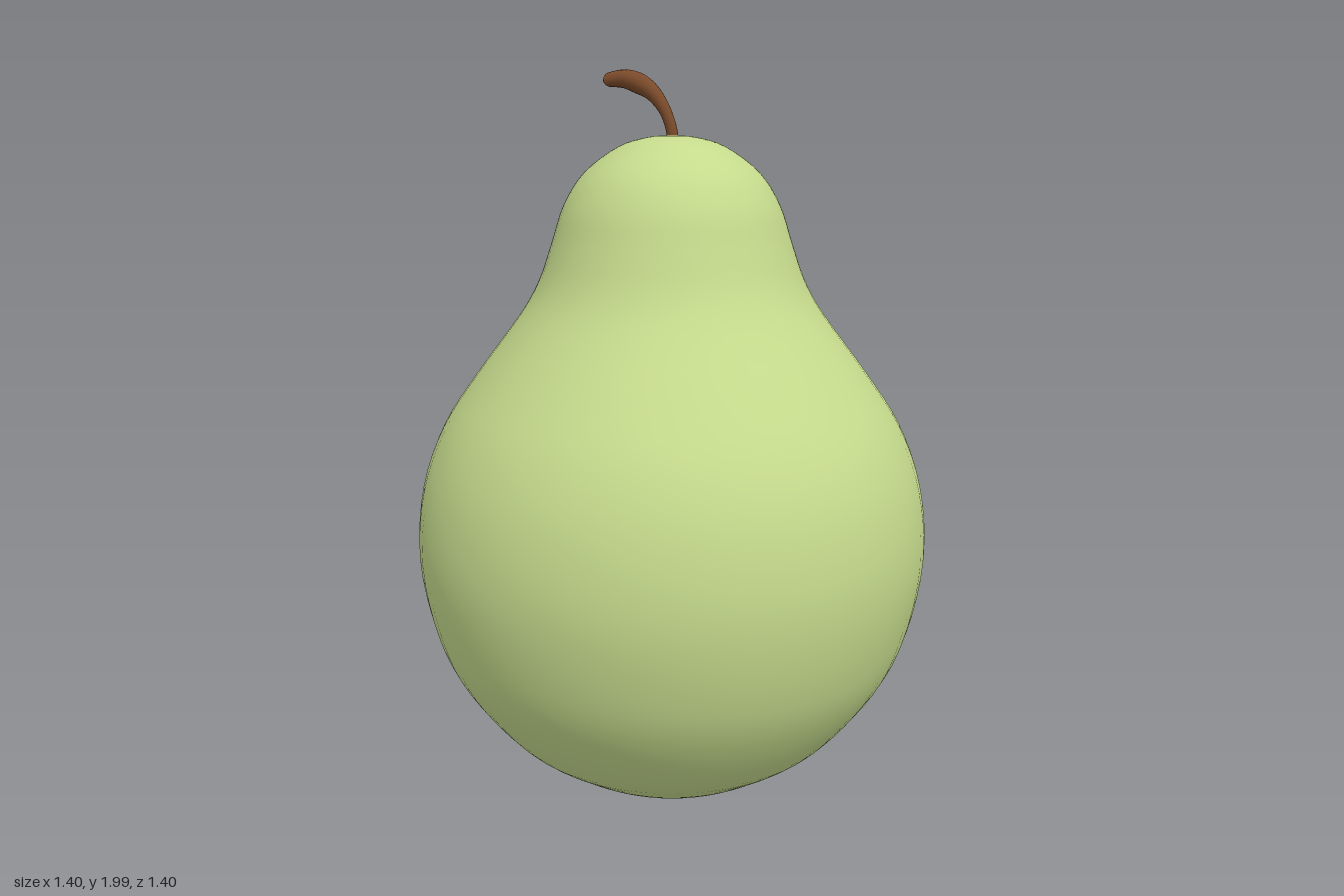
import * as THREE from 'three';

const v2 = ([x, y]) => new THREE.Vector2(x, y);

// Round fruit body: belly, waist and domed neck turned around y
function makeBody() {
  const profile = new THREE.SplineCurve([
    [0, 0.005], [0.12, 0.012], [0.25, 0.052], [0.37, 0.12], [0.48, 0.205], [0.6, 0.36],
    [0.665, 0.51], [0.7, 0.71], [0.682, 0.9], [0.623, 1.06], [0.53, 1.2], [0.41, 1.36],
    [0.358, 1.45], [0.322, 1.55], [0.288, 1.65], [0.232, 1.735], [0.14, 1.802],
    [0.06, 1.826], [0, 1.83],
  ].map(v2));
  const points = profile.getPoints(72);
  points.forEach((p) => { p.x = Math.max(p.x, 0); });
  points[0].x = points[points.length - 1].x = 0;
  const body = new THREE.Mesh(
    new THREE.LatheGeometry(points, 64),
    new THREE.MeshStandardMaterial({ color: 0xc5da8c }),
  );
  body.name = 'body';
  return body;
}

// Curved stem: a tube whose rings swell towards the rounded tip
function makeStem() {
  const path = new THREE.CatmullRomCurve3([
    [0.002, 1.79], [0, 1.84], [-0.023, 1.9], [-0.065, 1.948],
    [-0.125, 1.974], [-0.165, 1.975], [-0.196, 1.97],
  ].map((p) => new THREE.Vector3(...p)));
  const rings = 40, sides = 16;
  const geometry = new THREE.TubeGeometry(path, rings, 1, sides);
  const radius = new THREE.SplineCurve([
    [0, 0.015], [0.2, 0.015], [0.4, 0.016], [0.6, 0.021], [0.78, 0.027], [0.9, 0.023], [1, 0.017],
  ].map(v2));
  const position = geometry.attributes.position;
  const p = new THREE.Vector3();
  for (let i = 0; i <= rings; i++) {
    const t = i / rings;
    const centre = path.getPointAt(t);
    const tip = Math.sqrt(Math.min(1, (1 - t) / 0.05));
    const r = radius.getPoint(t).y * tip;
    for (let j = 0; j <= sides; j++) {
      const k = i * (sides + 1) + j;
      p.fromBufferAttribute(position, k).sub(centre).multiplyScalar(r).add(centre);
      position.setXYZ(k, p.x, p.y, p.z);
    }
  }
  const stem = new THREE.Mesh(geometry, new THREE.MeshStandardMaterial({ color: 0x7a4a2a }));
  stem.name = 'stem';
  return stem;
}

export function createModel() {
  const pear = new THREE.Group();
  pear.name = 'pear';
  pear.add(makeBody(), makeStem());
  return pear;
}
